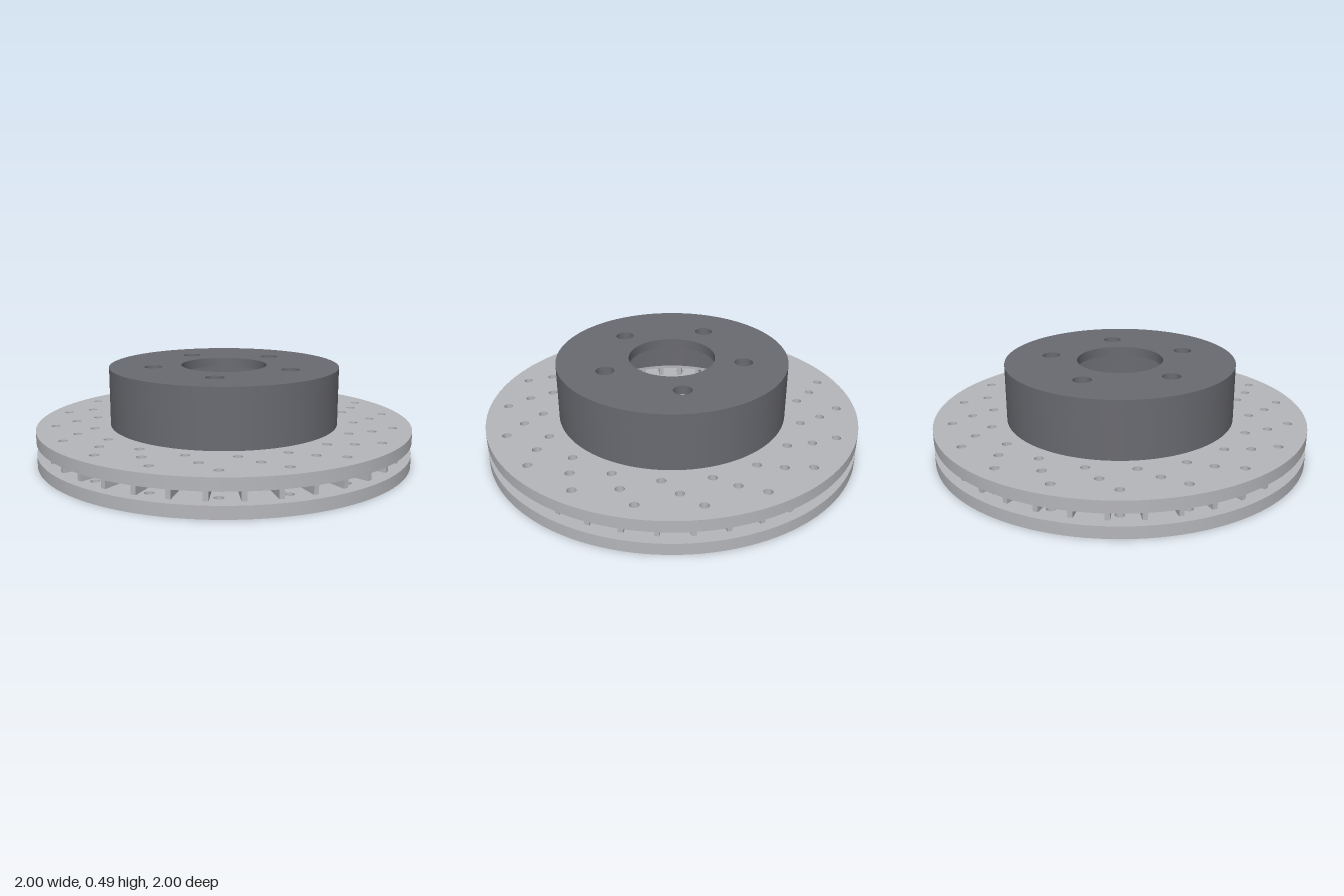
import * as THREE from 'three';
import { toCreasedNormals, mergeGeometries } from 'three/addons/utils/BufferGeometryUtils.js';

const OUTER = 1, INNER = 0.612;      // friction ring radii
const PLATE = 0.0625;                // plate thickness, also the vent gap
const DISC_TOP = PLATE * 3, HAT_TOP = 0.494, HAT_PLATE = 0.05;
const HOLE_R = 0.0235;

function circlePoints(x, y, r, n) {
  return Array.from({ length: n }, (_, i) => {
    const a = (i / n) * Math.PI * 2;
    return new THREE.Vector2(x + r * Math.cos(a), y + r * Math.sin(a));
  });
}

function disc(radius, holes) {
  const shape = new THREE.Shape(circlePoints(0, 0, radius, 120));
  for (const [x, y, r, n] of holes) shape.holes.push(new THREE.Path(circlePoints(x, y, r, n)));
  return shape;
}

// Extrudes a flat shape upward from height y
function slab(shape, y, height) {
  const geo = new THREE.ExtrudeGeometry(shape, { depth: height, bevelEnabled: false, curveSegments: 8 });
  geo.rotateX(-Math.PI / 2).translate(0, y, 0);
  return toCreasedNormals(geo, 0.5);
}

// Radial vane outlines; a drilled vane is split where the inner hole row passes
function vaneShapes(drilled) {
  const r0 = 0.64, r1 = 0.95, t = 0.0125, hole = 0.7;
  const box = (a, b) => new THREE.Shape([
    new THREE.Vector2(a, -t), new THREE.Vector2(b, -t), new THREE.Vector2(b, t), new THREE.Vector2(a, t)]);
  if (!drilled) return [box(r0, r1)];
  const a = Math.asin(t / HOLE_R), d = HOLE_R * Math.cos(a);
  const inner = new THREE.Shape();
  inner.moveTo(r0, -t).lineTo(hole - d, -t);
  inner.absarc(hole, 0, HOLE_R, Math.PI + a, Math.PI - a, true);
  inner.lineTo(r0, t);
  const outer = new THREE.Shape();
  outer.moveTo(r1, t).lineTo(hole + d, t);
  outer.absarc(hole, 0, HOLE_R, a, -a, true);
  outer.lineTo(r1, -t);
  return [inner, outer];
}

export function createModel() {
  const model = new THREE.Group();
  model.name = 'ventedBrakeDisc';
  const steel = new THREE.MeshStandardMaterial({ color: 0xb6b7bb });
  steel.name = 'machined steel';
  const iron = new THREE.MeshStandardMaterial({ color: 0x6a6b71 });
  iron.name = 'dark iron';

  const add = (name, geo, mat) => {
    const mesh = new THREE.Mesh(geo, mat);
    mesh.name = name;
    model.add(mesh);
  };

  // Three rows of cross-drilled holes, each row staggered by a third of the pitch
  const holes = [[0, 0, INNER, 120]];
  for (let row = 0; row < 3; row++) {
    for (let i = 0; i < 18; i++) {
      const a = (i + row / 3) * Math.PI / 9, r = 0.7 + row * 0.1;
      holes.push([r * Math.cos(a), r * Math.sin(a), HOLE_R, 20]);
    }
  }
  const ring = disc(OUTER, holes);
  add('lowerFrictionPlate', slab(ring, 0, PLATE), steel);
  add('upperFrictionPlate', slab(ring, PLATE * 2, PLATE), steel);

  // 36 cooling vanes between the plates
  const vanes = [];
  for (let i = 0; i < 36; i++) {
    for (const shape of vaneShapes(i % 2 === 0)) {
      vanes.push(slab(shape, PLATE, PLATE).rotateY(i * Math.PI / 18));
    }
  }
  add('coolingVanes', mergeGeometries(vanes), steel);

  // Hat: hollow wall and a mounting face with hub bore and five bolt holes
  const wallHeight = HAT_TOP - HAT_PLATE - DISC_TOP;
  add('hatWall', slab(disc(INNER, [[0, 0, 0.52, 120]]), DISC_TOP, wallHeight), iron);
  const bolts = [[0, 0, 0.229, 72]];
  for (let i = 0; i < 5; i++) {
    const a = i * Math.PI * 2 / 5;
    bolts.push([0.38 * Math.cos(a), 0.38 * Math.sin(a), 0.048, 32]);
  }
  add('hatMountingFace', slab(disc(INNER, bolts), HAT_TOP - HAT_PLATE, HAT_PLATE), iron);

  return model;
}
